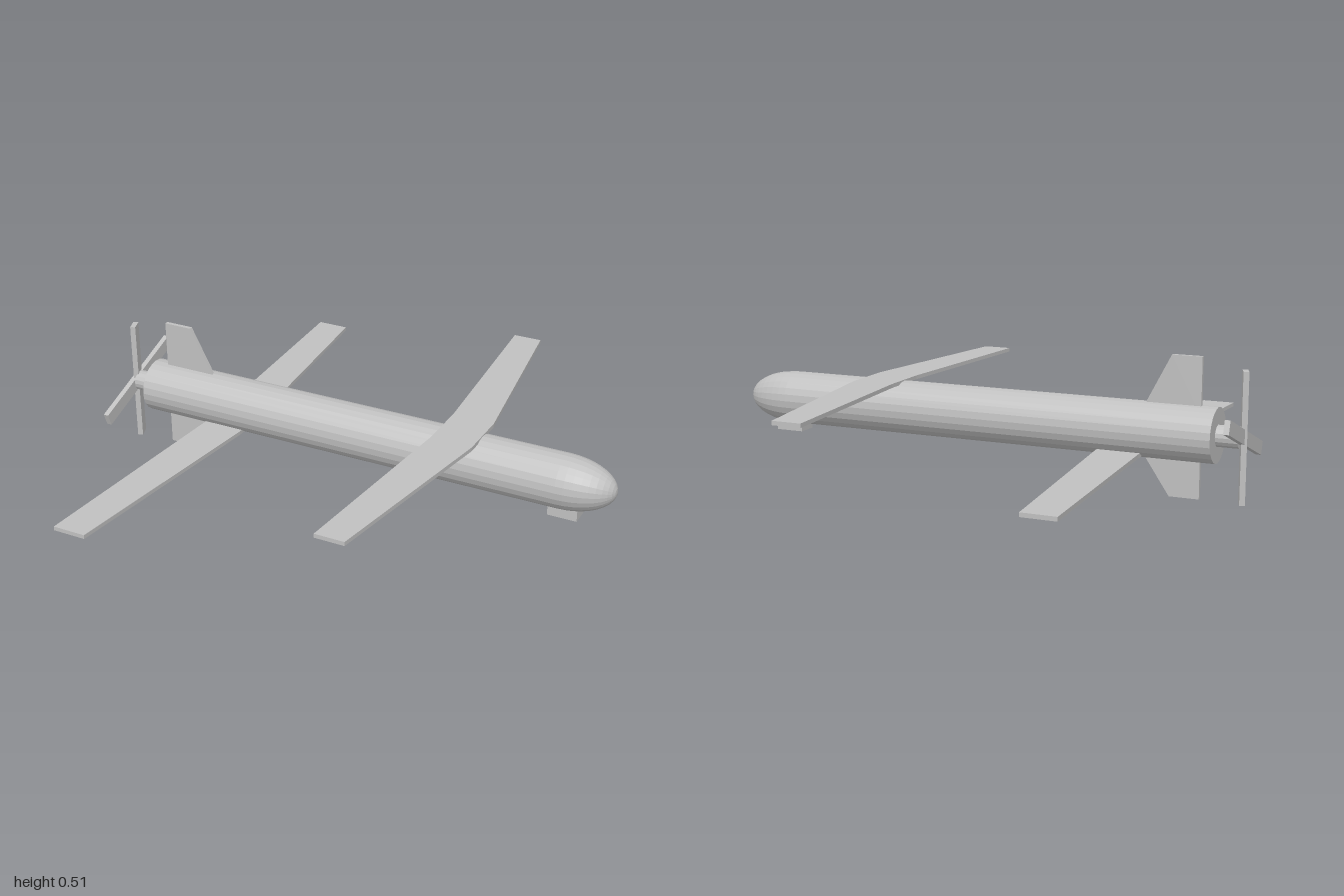
import * as THREE from 'three';

const AXIS_Y = 0.237; // height of the fuselage centreline
const RADIUS = 0.1;
const SIDES = 24;

export function createModel() {
  const grey = new THREE.MeshStandardMaterial({ color: 0xc0c0c0, flatShading: true });
  grey.name = 'airframe grey';
  const model = new THREE.Group();
  model.name = 'tandemWingDrone';

  function add(name, geometry, x = 0, y = 0, z = 0, parent = model) {
    const mesh = new THREE.Mesh(geometry, grey);
    mesh.name = name;
    mesh.position.set(x, y, z);
    parent.add(mesh);
    return mesh;
  }

  // Flat plate from an outline, centred on its own thickness
  function plate(points, thickness) {
    const shape = new THREE.Shape(points.map(([a, b]) => new THREE.Vector2(a, b)));
    const geometry = new THREE.ExtrudeGeometry(shape, { depth: thickness, bevelEnabled: false });
    return geometry.translate(0, 0, -thickness / 2);
  }

  // Cylinder lying along x between two stations
  function tube(x0, x1, radius, sides) {
    return new THREE.CylinderGeometry(radius, radius, x1 - x0, sides)
      .rotateZ(-Math.PI / 2)
      .translate((x0 + x1) / 2, 0, 0);
  }

  // Fuselage and elongated nose dome
  add('fuselage', tube(-0.89, 0.8, RADIUS, SIDES), 0, AXIS_Y);
  const nose = new THREE.SphereGeometry(RADIUS, SIDES, 10, 0, Math.PI * 2, 0, Math.PI / 2)
    .rotateZ(-Math.PI / 2)
    .scale(1.95, 1, 1);
  add('nose', nose, 0.8, AXIS_Y);

  // Sensor box under the nose
  add('sensorBox', new THREE.BoxGeometry(0.11, 0.06, 0.08), 0.815, 0.14);

  // Wings: constant-chord centre section, tapered and swept outer panels
  function wing(name, y, root, tip, rootZ, span) {
    const right = [[root[0], rootZ], [tip[0], span], [tip[1], span], [root[1], rootZ]];
    const left = right.map(([x, z]) => [x, -z]).reverse();
    const geometry = plate([...right, ...left], 0.015).rotateX(Math.PI / 2);
    add(name, geometry, 0, y);
  }
  wing('frontWing', 0.333, [0.33, 0.49], [0.27, 0.38], 0.1, 0.85);
  wing('rearWing', 0.155, [-0.63, -0.47], [-0.68, -0.555], 0.08, 0.96);

  // Tail fins, rooted inside the fuselage
  const finThickness = 0.015;
  add('upperFin', plate([
    [-0.83, 0.3], [-0.63, 0.3], [-0.63, 0.337], [-0.72, 0.51], [-0.83, 0.51],
  ], finThickness));
  add('lowerFin', plate([
    [-0.83, 0.17], [-0.83, 0.003], [-0.72, 0.003], [-0.63, 0.137], [-0.63, 0.17],
  ], finThickness));

  // Pusher propeller: hub, one pitched upright blade and one canted cross blade
  const propeller = new THREE.Group();
  propeller.name = 'propeller';
  propeller.position.set(0, 0.236, 0);
  model.add(propeller);
  add('hub', tube(-0.97, -0.88, 0.039, 16), 0, 0, 0, propeller);
  const tilt = THREE.MathUtils.degToRad(20);
  const upright = add('uprightBlade', new THREE.BoxGeometry(0.02, 0.47, 0.05), -0.981, 0, 0, propeller);
  upright.rotation.y = tilt;
  const cross = add('crossBlade', new THREE.BoxGeometry(0.02, 0.05, 0.465), -0.981, 0, 0, propeller);
  cross.rotation.x = tilt;

  return model;
}
